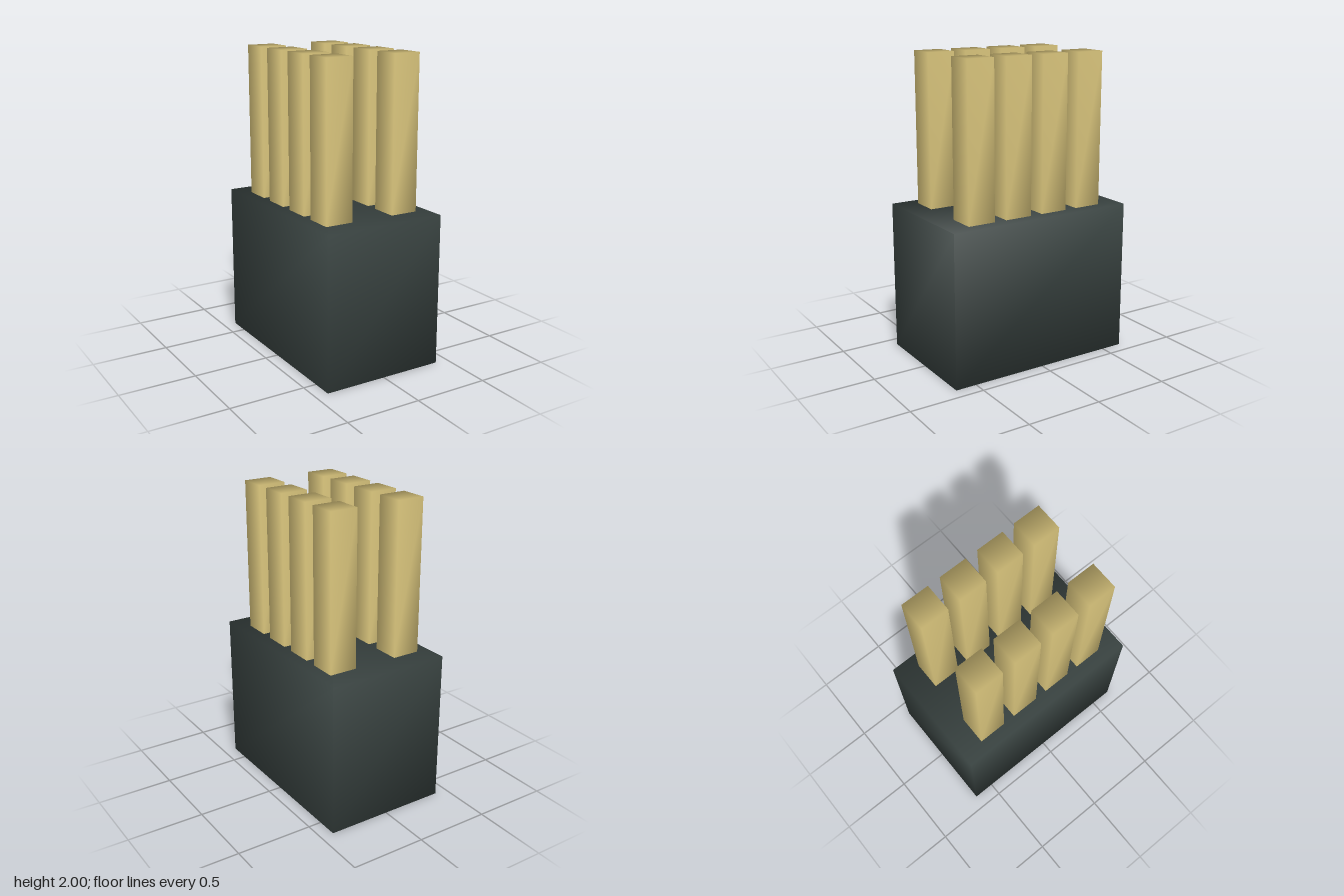
import * as THREE from 'three';
import { mergeVertices } from 'three/addons/utils/BufferGeometryUtils.js';

const housingBlack = new THREE.MeshStandardMaterial({ color: 0x394341 });
housingBlack.name = 'housingBlack';
const pinGold = new THREE.MeshStandardMaterial({ color: 0xdec97f });
pinGold.name = 'pinGold';

// Box with shared corners, so its shading runs smoothly over the edges
function smoothBox(width, height, depth) {
  const box = new THREE.BoxGeometry(width, height, depth);
  box.deleteAttribute('normal');
  box.deleteAttribute('uv');
  const geometry = mergeVertices(box);
  geometry.clearGroups();
  geometry.computeVertexNormals();
  return geometry;
}

export function createModel() {
  const model = new THREE.Group();
  model.name = 'pinHeader';

  // Housing block
  const housing = new THREE.Mesh(smoothBox(0.826, 1, 1.284), housingBlack);
  housing.name = 'housing';
  housing.position.y = 0.5;
  model.add(housing);

  // Two columns of four square pins
  const pins = new THREE.Group();
  pins.name = 'pins';
  const pinGeometry = smoothBox(0.184, 1, 0.184);
  for (const side of [-1, 1]) {
    for (let row = 0; row < 4; row++) {
      const pin = new THREE.Mesh(pinGeometry, pinGold);
      pin.name = `${side > 0 ? 'left' : 'right'}Pin${row + 1}`;
      pin.position.set(side * 0.239, 1.5, (row - 1.5) * 0.267);
      pins.add(pin);
    }
  }
  model.add(pins);

  return model;
}
